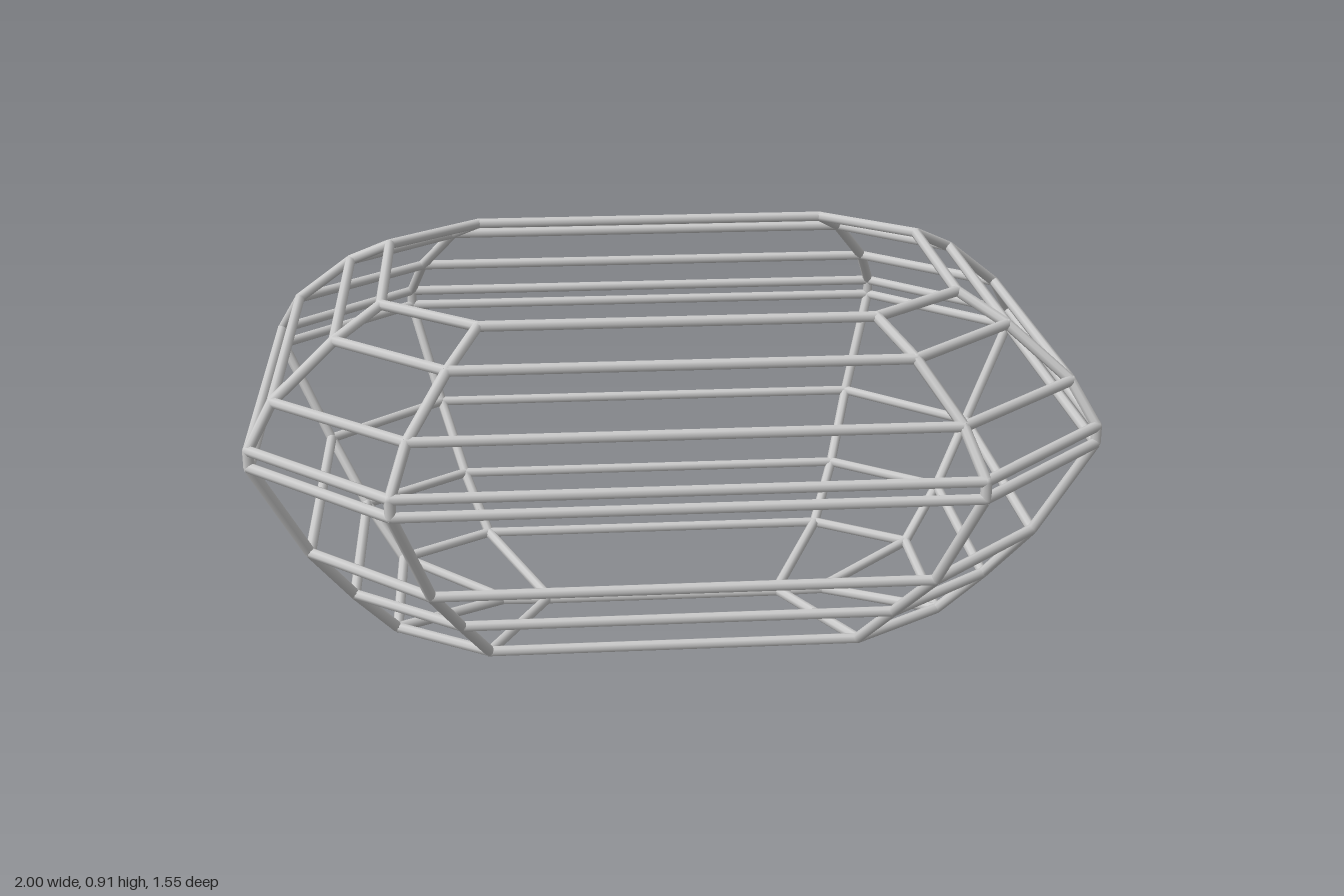
import * as THREE from 'three';
import { mergeGeometries } from 'three/addons/utils/BufferGeometryUtils.js';

const R = 0.013; // bar radius

// Octagonal tiers: [name, y, half width X, corner a on long sides, half depth Z, corner b on short sides]
const TIERS = [
  ['tableRing', 0.903, 0.68, 0.455, 0.437, 0.256],
  ['upperCrownRing', 0.842, 0.787, 0.525, 0.563, 0.33],
  ['lowerCrownRing', 0.721, 0.93, 0.615, 0.68, 0.4],
  ['upperGirdleRing', 0.622, 0.986, 0.652, 0.763, 0.447],
  ['lowerGirdleRing', 0.58, 0.986, 0.652, 0.763, 0.447],
  ['upperPavilionRing', 0.331, 0.867, 0.576, 0.643, 0.376],
  ['middlePavilionRing', 0.176, 0.775, 0.514, 0.482, 0.284],
  ['lowerPavilionRing', 0.046, 0.68, 0.452, 0.36, 0.21],
  ['keelRing', 0.015, 0.42, 0.303, 0.011, 0.006],
];

function octagon([, y, X, a, Z, b]) {
  return [[a, Z], [X, b], [X, -b], [a, -Z], [-a, -Z], [-X, -b], [-X, b], [-a, Z]]
    .map(([x, z]) => new THREE.Vector3(x, y, z));
}

// Straight round bar between two points
function bar(p, q) {
  const d = q.clone().sub(p);
  const g = new THREE.CylinderGeometry(R, R, d.length(), 8);
  g.applyQuaternion(new THREE.Quaternion().setFromUnitVectors(
    new THREE.Vector3(0, 1, 0), d.normalize()));
  const m = p.clone().add(q).multiplyScalar(0.5);
  return g.translate(m.x, m.y, m.z);
}

function joint(p) {
  return new THREE.SphereGeometry(R, 8, 6).translate(p.x, p.y, p.z);
}

export function createModel() {
  const group = new THREE.Group();
  group.name = 'gemFrame';
  const material = new THREE.MeshStandardMaterial({ color: 0xcccccc });
  const add = (name, parts) => {
    const mesh = new THREE.Mesh(mergeGeometries(parts), material);
    mesh.name = name;
    group.add(mesh);
  };
  const rings = TIERS.map(octagon);

  // Horizontal rings with rounded joints
  rings.forEach((pts, i) => add(TIERS[i][0],
    pts.flatMap((p, k) => [bar(p, pts[(k + 1) % 8]), joint(p)])));

  // Eight ribs running from the table down to the keel
  for (let k = 0; k < 8; k++) {
    add('rib' + (k + 1), rings.slice(1).map((pts, i) => bar(rings[i][k], pts[k])));
  }
  return group;
}
